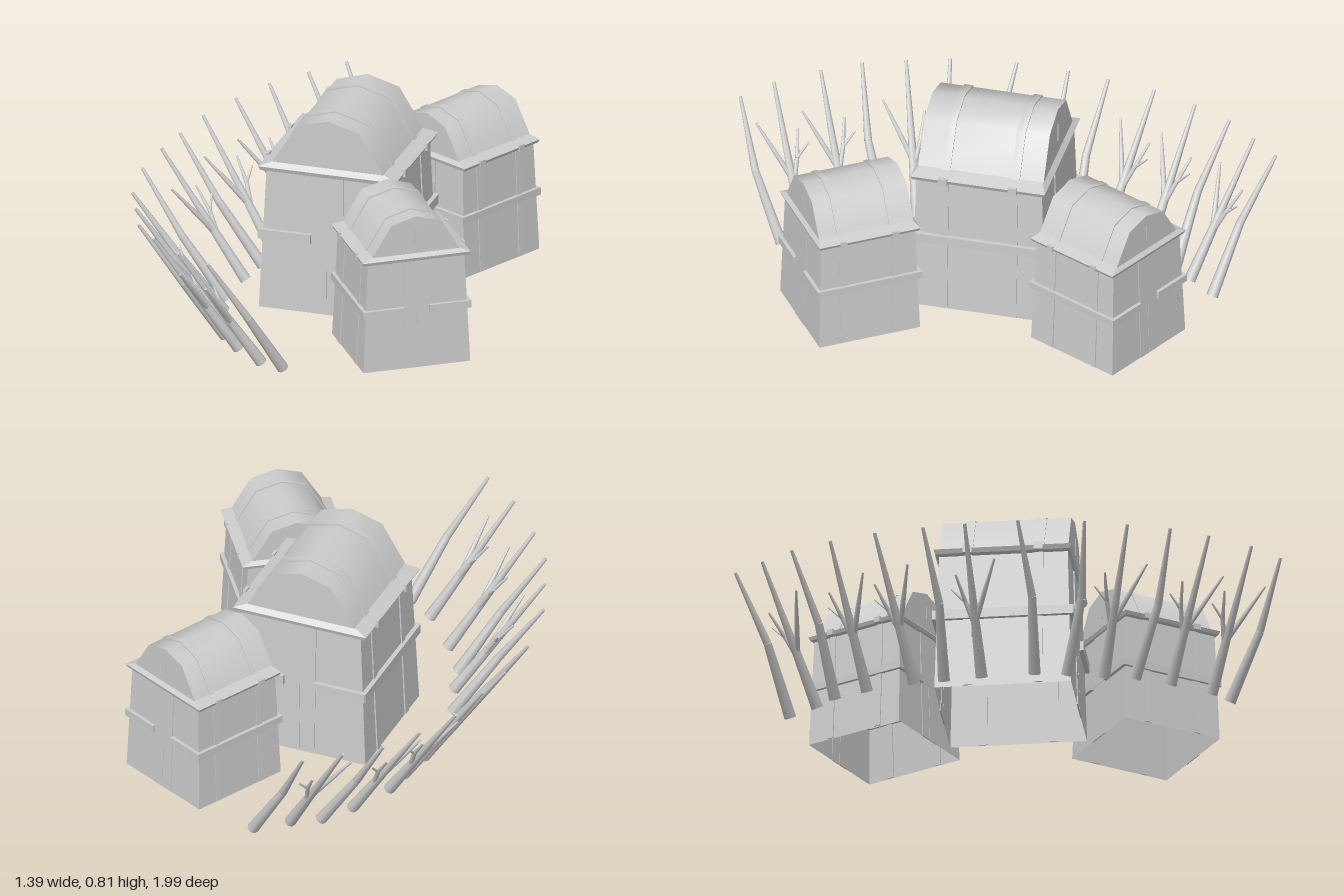
import * as THREE from 'three';
import { toCreasedNormals } from 'three/addons/utils/BufferGeometryUtils.js';

const material = new THREE.MeshStandardMaterial({ color: 0xcccccc, side: THREE.DoubleSide });

function add(parent, name, geometry, x = 0, y = 0, z = 0) {
  const mesh = new THREE.Mesh(geometry, material);
  mesh.name = name;
  mesh.position.set(x, y, z);
  parent.add(mesh);
  return mesh;
}

// Four-sided shell through rectangular sections [y, halfX, halfZ]
function rectLoft(sections) {
  const corners = ([y, hx, hz]) => [[hx, y, hz], [hx, y, -hz], [-hx, y, -hz], [-hx, y, hz]];
  const pos = [];
  for (let i = 0; i + 1 < sections.length; i++) {
    const a = corners(sections[i]), b = corners(sections[i + 1]);
    for (let k = 0; k < 4; k++) {
      const n = (k + 1) % 4;
      pos.push(...a[k], ...a[n], ...b[n], ...a[k], ...b[n], ...b[k]);
    }
  }
  const geometry = new THREE.BufferGeometry();
  geometry.setAttribute('position', new THREE.Float32BufferAttribute(pos, 3));
  geometry.computeVertexNormals();
  return geometry;
}

// Barrel roof section, extruded along z and centred
function roofSlice(depth, grow) {
  const points = [[-0.212, 0], [0.212, 0], [0.12, 0.15], [0, 0.185], [-0.12, 0.15]];
  const shape = new THREE.Shape(points.map(([x, y]) => new THREE.Vector2(x * (1 + grow), y + (y ? grow * 0.2 : 0))));
  const geometry = new THREE.ExtrudeGeometry(shape, { depth, bevelEnabled: false });
  geometry.translate(0, 0, -depth / 2);
  return toCreasedNormals(geometry, 0.8);
}

function hut(name, x, z, scale, turn) {
  const group = new THREE.Group();
  group.name = name;
  group.position.set(x, 0.07, z);
  group.rotation.y = turn;
  group.scale.setScalar(scale);

  // Hollow flared walls, eaves rim and roof
  add(group, 'walls', rectLoft([[0, 0.26, 0.25], [0.55, 0.235, 0.235]]));
  add(group, 'eavesRim', rectLoft([
    [0.532, 0.23, 0.23], [0.536, 0.255, 0.246], [0.552, 0.263, 0.252], [0.572, 0.21, 0.232], [0.572, 0.2, 0.22],
  ]));
  add(group, 'roof', roofSlice(0.47, 0), 0, 0.57, 0);

  for (const s of [-1, 1]) {
    // Straps over the roof, past the rim and down the side walls
    add(group, 'roofStrap', roofSlice(0.032, 0.025), 0, 0.57, s * 0.13);
    for (const t of [-1, 1]) {
      add(group, 'wallStrap', new THREE.BoxGeometry(0.01, 0.535, 0.032), t * 0.2475, 0.27, s * 0.13).rotation.z = t * 0.047;
      add(group, 'strapClip', new THREE.BoxGeometry(0.012, 0.028, 0.032), t * 0.261, 0.548, s * 0.13);
      // Waist band on the gable ends, broken at the centre panel
      add(group, 'endBand', new THREE.BoxGeometry(0.2, 0.036, 0.026), t * 0.161, 0.29, s * 0.246);
    }
    add(group, 'sideBand', new THREE.BoxGeometry(0.026, 0.036, 0.515), s * 0.25, 0.29, 0);
    // Raised centre panel and split door
    add(group, 'upperPanel', new THREE.BoxGeometry(0.122, 0.26, 0.006), 0, 0.41, s * 0.24).rotation.x = -s * 0.027;
    for (const t of [-1, 1]) {
      const leaf = add(group, 'doorLeaf', new THREE.BoxGeometry(0.059, 0.285, 0.005), t * 0.0305, 0.143, s * 0.2465);
      leaf.rotation.x = -s * 0.027;
    }
    add(group, 'gableSlit', new THREE.BoxGeometry(0.008, 0.07, 0.006), 0, 0.655, s * 0.235);
  }
  return group;
}

// Tapered rod between two points
function rod(parent, name, a, b, r0, r1) {
  const dir = b.clone().sub(a);
  const mesh = add(parent, name, new THREE.CylinderGeometry(r1, r0, dir.length(), 8));
  mesh.position.copy(a).add(b).multiplyScalar(0.5);
  mesh.quaternion.setFromUnitVectors(new THREE.Vector3(0, 1, 0), dir.normalize());
}

function stake(x0, z0, x1, z1, branched) {
  const group = new THREE.Group();
  group.name = branched ? 'branchedStake' : 'bentStake';
  const y0 = 0.03 + (x0 + 0.36) * 0.12;
  const base = new THREE.Vector3(x0, y0, z0);
  const tip = new THREE.Vector3(x1, y0 + 0.465, z1);
  const side = new THREE.Vector3(z1 - z0, 0, x0 - x1).normalize();
  // Point at fraction t along the stake, moved sideways and up
  const at = (t, s = 0, up = 0) => {
    const p = base.clone().lerp(tip, t).addScaledVector(side, s);
    p.y += up;
    return p;
  };
  if (branched) {
    rod(group, 'trunk', base, tip, 0.022, 0.006);
    rod(group, 'branch', at(0.36), at(0.55, 0.045), 0.011, 0.009);
    rod(group, 'branch', at(0.55, 0.045), at(0.76, 0.095), 0.009, 0.004);
    rod(group, 'branch', at(0.32), at(0.46, -0.03, 0.02), 0.01, 0.008);
    rod(group, 'branch', at(0.46, -0.03, 0.02), at(0.66, -0.055, 0.01), 0.008, 0.004);
    rod(group, 'twig', at(0.46, -0.03, 0.02), at(0.5, -0.08, 0.05), 0.006, 0.003);
  } else {
    rod(group, 'lowerTrunk', base, at(0.5, 0.022), 0.022, 0.015);
    rod(group, 'upperTrunk', at(0.5, 0.022), tip, 0.015, 0.006);
  }
  return group;
}

export function createModel() {
  const model = new THREE.Group();
  model.name = 'fortifiedHuts';
  model.add(
    hut('mainHut', 0.06, -0.02, 1, 0),
    hut('frontHut', 0.41, 0.435, 0.78, 0.61),
    hut('backHut', 0.335, -0.513, 0.78, -0.46),
  );

  // Leaning stakes in an arc: base x, z, tip x, z, branched
  const stakes = [
    [0.01, -0.82, -0.26, -0.99, 0], [-0.09, -0.71, -0.37, -0.88, 1],
    [-0.18, -0.635, -0.48, -0.76, 0], [-0.25, -0.51, -0.56, -0.61, 1],
    [-0.32, -0.33, -0.63, -0.44, 1], [-0.33, -0.22, -0.66, -0.26, 0],
    [-0.35, -0.08, -0.68, -0.105, 1], [-0.36, 0.115, -0.69, 0.09, 0],
    [-0.33, 0.23, -0.65, 0.33, 0], [-0.28, 0.36, -0.59, 0.48, 1],
    [-0.25, 0.47, -0.53, 0.63, 0], [-0.16, 0.59, -0.43, 0.76, 1],
    [-0.03, 0.725, -0.29, 0.9, 1], [0.07, 0.78, -0.15, 0.99, 0],
  ];
  const fence = new THREE.Group();
  fence.name = 'stakeFence';
  for (const s of stakes) fence.add(stake(...s));
  model.add(fence);
  return model;
}
